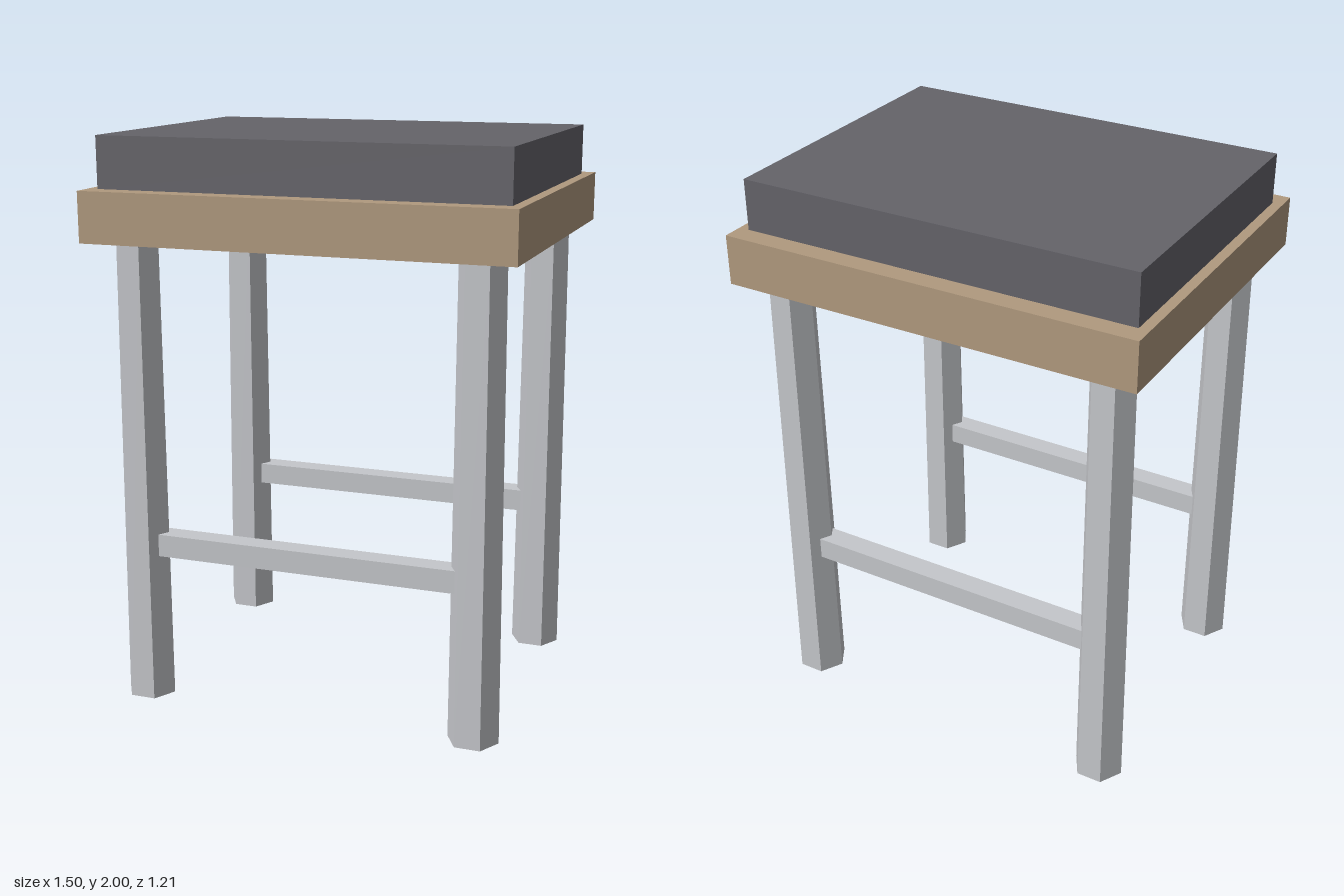
import * as THREE from 'three';

export function createModel() {
  const group = new THREE.Group();
  group.name = 'stool';

  const material = (name, color) => {
    const m = new THREE.MeshStandardMaterial({ color, flatShading: true });
    m.name = name;
    return m;
  };
  const fabric = material('dark grey fabric', 0x646369);
  const wood = material('tan wood', 0xb0997e);
  const metal = material('light grey metal', 0xc5c7cb);

  const add = (name, geometry, mat, x, y, z) => {
    const mesh = new THREE.Mesh(geometry, mat);
    mesh.name = name;
    mesh.position.set(x, y, z);
    group.add(mesh);
  };

  // Seat board and the cushion on top of it
  add('seatBoard', new THREE.BoxGeometry(1.496, 0.175, 1.21), wood, 0, 1.7345, 0);
  add('cushion', new THREE.BoxGeometry(1.422, 0.178, 1.064), fabric, 0, 1.911, 0);

  // Tapered six-sided legs, corners pointing along x
  const legHeight = 1.647, legX = 0.605, legZ = 0.465;
  const leg = new THREE.CylinderGeometry(0.08, 0.09, legHeight, 6).rotateY(Math.PI / 6);
  // Stretcher bars joining the legs across the front and the back
  const stretcher = new THREE.BoxGeometry(1.084, 0.08, 0.08);

  for (const [end, sz] of [['front', 1], ['back', -1]]) {
    for (const [side, sx] of [['Left', 1], ['Right', -1]]) {
      add(`${end}${side}Leg`, leg, metal, sx * legX, legHeight / 2, sz * legZ);
    }
    add(`${end}Stretcher`, stretcher, metal, 0, 0.573, sz * legZ);
  }
  return group;
}
